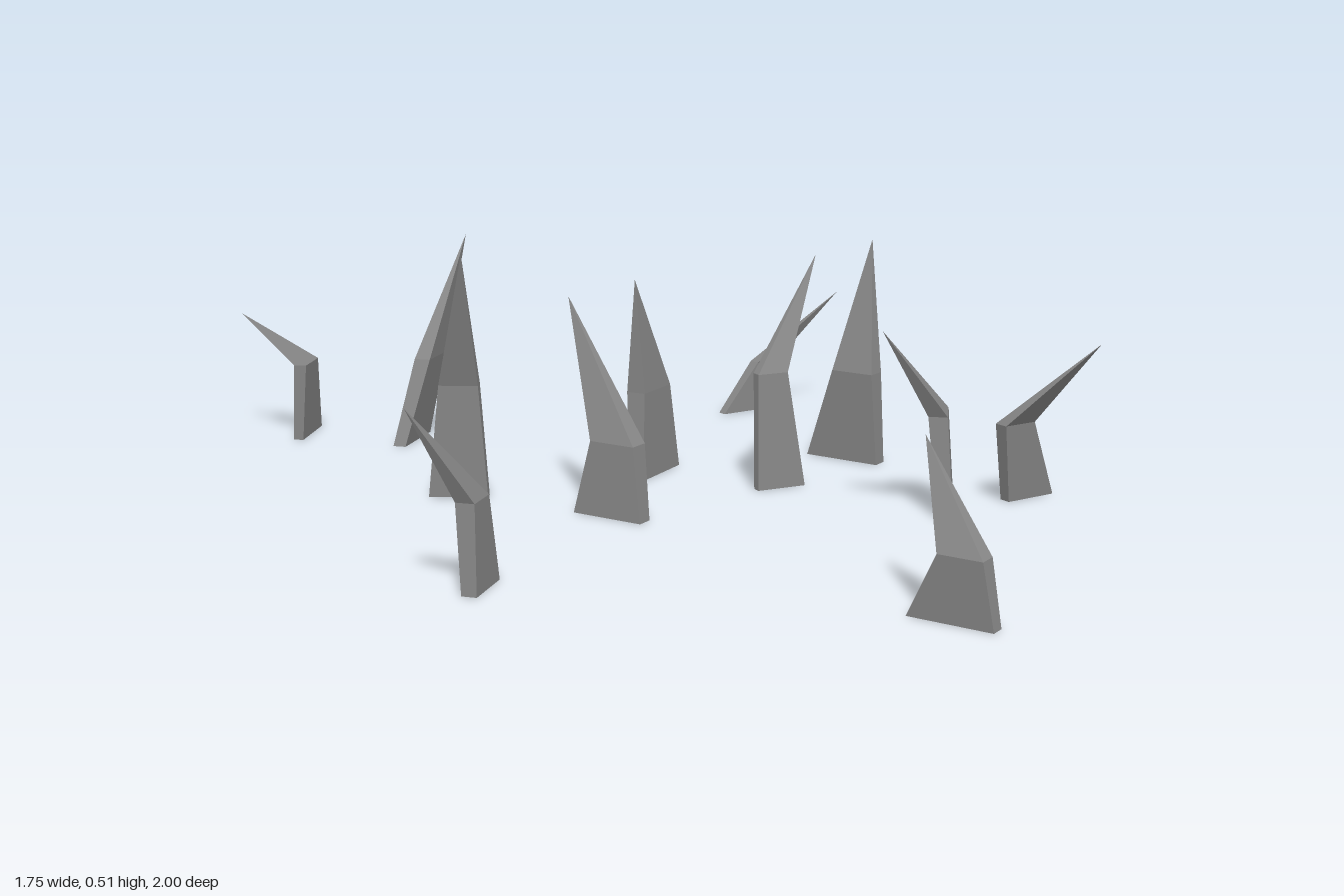
import * as THREE from 'three';

// Each blade: base centre [x, z], half-width vector [x, z],
// bend centre [x, y, z], width kept at the bend, tip [x, y, z], half thickness
const BLADES = [
  { base: [-0.088, -0.91], half: [0.062, -0.034], bend: [-0.115, 0.175, -0.88], keep: 0.64, tip: [-0.193, 0.285, -1.0], t: 0.014 },
  { base: [0.01, -0.675], half: [0.07, -0.027], bend: [0.052, 0.19, -0.652], keep: 0.66, tip: [0.183, 0.452, -0.655], t: 0.018 },
  { base: [-0.29, -0.262], half: [0.034, 0.05], bend: [-0.298, 0.235, -0.25], keep: 0.66, tip: [-0.38, 0.515, -0.165], t: 0.016 },
  { base: [-0.227, 0.08], half: [0.005, 0.078], bend: [-0.22, 0.15, 0.09], keep: 0.64, tip: [-0.17, 0.415, -0.07], t: 0.021 },
  { base: [0.1, -0.056], half: [0.078, -0.01], bend: [0.085, 0.185, -0.06], keep: 0.7, tip: [0.023, 0.425, -0.05], t: 0.021 },
  { base: [-0.72, 0.173], half: [0.051, -0.018], bend: [-0.738, 0.165, 0.173], keep: 0.62, tip: [-0.874, 0.345, 0.147], t: 0.018 },
  { base: [0.155, 0.225], half: [0.048, 0.026], bend: [0.15, 0.24, 0.203], keep: 0.62, tip: [0.33, 0.463, 0.195], t: 0.011 },
  { base: [0.446, 0.207], half: [0.002, 0.086], bend: [0.435, 0.2, 0.238], keep: 0.56, tip: [0.492, 0.48, 0.237], t: 0.021 },
  { base: [0.222, 0.574], half: [0.067, -0.035], bend: [0.19, 0.2, 0.57], keep: 0.6, tip: [0.015, 0.385, 0.54], t: 0.019 },
  { base: [0.393, 0.668], half: [0.056, 0.021], bend: [0.333, 0.165, 0.666], keep: 0.64, tip: [0.342, 0.343, 0.838], t: 0.015 },
  { base: [-0.394, 0.92], half: [0.003, 0.08], bend: [-0.4, 0.12, 0.94], keep: 0.52, tip: [-0.344, 0.297, 0.832], t: 0.018 },
  { base: [0.696, -0.235], half: [0.053, 0.02], bend: [0.762, 0.115, -0.215], keep: 0.5, tip: [0.874, 0.283, -0.08], t: 0.014 },
];

// Rectangular cross-section, counter-clockwise seen from above
function section(x, y, z, hx, hz, t) {
  const len = Math.hypot(hx, hz);
  const px = (-hz / len) * t, pz = (hx / len) * t;
  return [[-1, -1], [-1, 1], [1, 1], [1, -1]].map(([u, v]) =>
    [x + u * hx + v * px, y, z + u * hz + v * pz]);
}

// Lower block, slightly thinner at the foot, bent into a four-sided spike
function bladeGeometry({ base, half, bend, keep, tip, t }) {
  const lower = section(base[0], 0, base[1], half[0], half[1], t * 0.8);
  const upper = section(...bend, half[0] * keep, half[1] * keep, t);
  const tris = [lower[0], lower[3], lower[2], lower[0], lower[2], lower[1]];
  for (let i = 0; i < 4; i++) {
    const j = (i + 1) % 4;
    tris.push(lower[i], lower[j], upper[j], lower[i], upper[j], upper[i]);
    tris.push(upper[i], upper[j], tip);
  }
  const geo = new THREE.BufferGeometry();
  geo.setAttribute('position', new THREE.Float32BufferAttribute(tris.flat(), 3));
  geo.computeVertexNormals();
  return geo;
}

export function createModel() {
  const group = new THREE.Group();
  group.name = 'grassPatch';
  const material = new THREE.MeshStandardMaterial({ color: 0x888888, flatShading: true });
  BLADES.forEach((blade, i) => {
    const mesh = new THREE.Mesh(bladeGeometry(blade), material);
    mesh.name = `grassBlade${i + 1}`;
    group.add(mesh);
  });
  return group;
}
